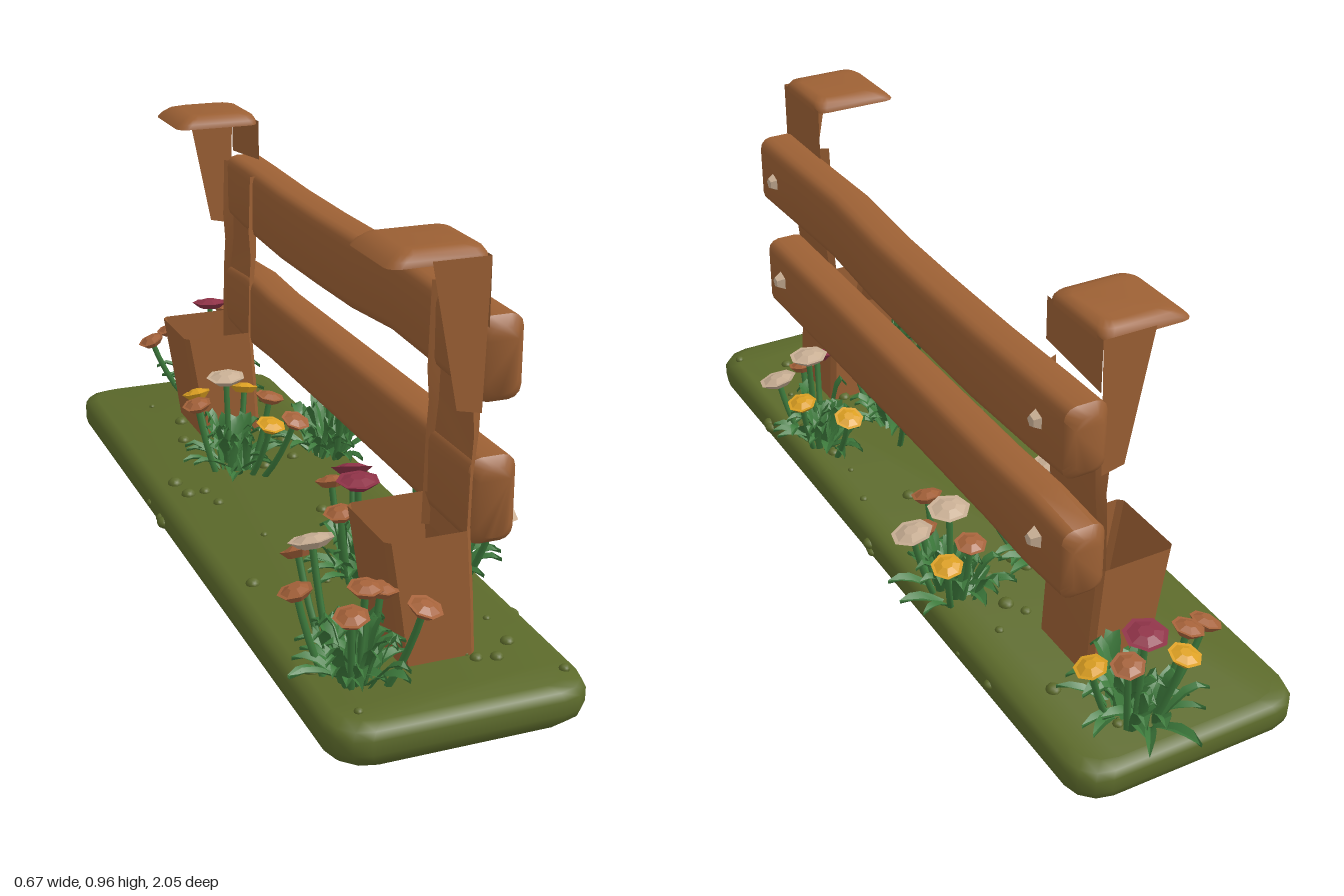
import * as THREE from 'three';
import { mergeGeometries, mergeVertices, toCreasedNormals } from 'three/addons/utils/BufferGeometryUtils.js';

const mat = (name, color, double) => {
  const m = new THREE.MeshStandardMaterial({ color });
  m.name = name;
  if (double) m.side = THREE.DoubleSide;
  return m;
};

let seed = 7;
const rnd = (a = 0, b = 1) => {
  seed = (seed * 16807) % 2147483647;
  return a + (b - a) * (seed / 2147483647);
};

// Rounded rectangle as a list of [a, b] pairs
function roundRect(a0, a1, b0, b1, r, steps = 3) {
  const out = [];
  [[a1 - r, b1 - r], [a0 + r, b1 - r], [a0 + r, b0 + r], [a1 - r, b0 + r]].forEach(([a, b], q) => {
    for (let i = 0; i <= steps; i++) {
      const t = (q + i / steps) * Math.PI / 2;
      out.push([a + r * Math.cos(t), b + r * Math.sin(t)]);
    }
  });
  return out;
}

// Skin a row of equal rings of [x, y, z]; optional end caps
function loft(rings, capped = true, crease = 0.7) {
  const n = rings[0].length, pos = rings.flat(2), idx = [];
  for (let r = 0; r < rings.length - 1; r++)
    for (let i = 0; i < n; i++) {
      const j = (i + 1) % n, a = r * n + i, b = r * n + j;
      idx.push(a, b, b + n, a, b + n, a + n);
    }
  if (capped) {
    const e = (rings.length - 1) * n;
    for (let i = 1; i < n - 1; i++) idx.push(0, i + 1, i, e, e + i, e + i + 1);
  }
  // turn the faces outward
  const p = i => new THREE.Vector3().fromArray(pos, i * 3).sub(new THREE.Vector3().fromArray(pos, 0));
  let vol = 0;
  for (let i = 0; i < idx.length; i += 3) vol += p(idx[i]).dot(p(idx[i + 1]).cross(p(idx[i + 2])));
  if (vol < 0) idx.reverse();
  const g = new THREE.BufferGeometry();
  g.setAttribute('position', new THREE.Float32BufferAttribute(pos, 3));
  g.setIndex(idx);
  return toCreasedNormals(g, crease);
}

// Open sheet through rows of points
function sheet(rows) {
  const n = rows[0].length, idx = [];
  for (let r = 0; r < rows.length - 1; r++)
    for (let i = 0; i < n - 1; i++) {
      const a = r * n + i;
      idx.push(a, a + 1, a + n + 1, a, a + n + 1, a + n);
    }
  const g = new THREE.BufferGeometry();
  g.setAttribute('position', new THREE.Float32BufferAttribute(rows.flat(2), 3));
  g.setIndex(idx);
  return toCreasedNormals(g, 0.6);
}

// Arching strap leaf rooted at (x, z)
function leaf(x, z, yaw, len, rise, w) {
  const rows = [], c = Math.cos(yaw), s = Math.sin(yaw);
  for (let i = 0; i <= 4; i++) {
    const t = i / 4, d = len * (0.1 + 0.9 * t), y = 0.085 + rise * Math.sin(t * 2.1);
    const h = w * [0.5, 0.85, 1, 0.8, 0.15][i];
    rows.push([-1, 0, 1].map(k => [x + c * d - s * h * k, y + (k ? 0.008 : 0), z + s * d + c * h * k]));
  }
  return sheet(rows);
}

// Cupped blossom with a low domed heart, tilted away from its clump
function blossom(x, y, z, r, cx, cz) {
  const cup = new THREE.CylinderGeometry(r, r * 0.6, 0.016, 7).toNonIndexed();
  const heart = new THREE.CylinderGeometry(r * 0.35, r * 0.8, 0.008, 7).toNonIndexed().translate(0, 0.012, 0);
  const g = mergeGeometries([cup, heart]);
  const out = new THREE.Vector3(x - cx, 0, z - cz).multiplyScalar(2.2).add(new THREE.Vector3(0, 1, 0)).normalize();
  g.applyQuaternion(new THREE.Quaternion().setFromUnitVectors(new THREE.Vector3(0, 1, 0), out));
  g.deleteAttribute('uv');
  return toCreasedNormals(g.translate(x, y, z), 0.3);
}

export function createModel() {
  seed = 7;
  const model = new THREE.Group();
  const wood = mat('wood', 0x9c6034, true), moss = mat('moss', 0x5c6a2b), green = mat('leaf green', 0x3d7a3c, true);
  const petals = {
    c: mat('cream', 0xcbb196), r: mat('crimson', 0x8f3348),
    y: mat('yellow', 0xdb9f22), b: mat('rust', 0xa5623a)
  };
  const add = (geo, material, name, parent = model) => {
    const m = new THREE.Mesh(geo, material);
    m.name = name;
    parent.add(m);
    return m;
  };

  // Mossy ground slab
  add(loft([[0, 0.02], [0.018, 0.004], [0.035, 0], [0.065, 0], [0.082, 0.008], [0.092, 0.03]].map(([y, k]) =>
    roundRect(-0.305 + k, 0.262 - k, -0.995 + k, 0.995 - k, 0.075).map(([x, z]) => [x, y, z])), true, 1), moss, 'ground');

  // Small pebbles on top and along the rim
  const pebbles = [];
  for (let i = 0; i < 60; i++) {
    const r = rnd(0.008, 0.02), side = i % 6 === 0;
    const g = mergeVertices(new THREE.IcosahedronGeometry(r, 1).deleteAttribute('uv').deleteAttribute('normal'));
    g.scale(1, 0.8, 1);
    g.computeVertexNormals();
    if (side) g.translate(rnd() < 0.5 ? -0.302 : 0.26, rnd(0.03, 0.06), rnd(-0.8, 0.8));
    else g.translate(rnd(-0.27, 0.23), 0.093, rnd(-0.93, 0.93));
    pebbles.push(g);
  }
  add(mergeGeometries(pebbles), moss, 'pebbles');

  // Posts: open stump, thin middle strip, hollow head and overhanging cap
  [[0.59, 0.8, 1], [-0.73, -0.52, -1]].forEach(([z0, z1, dir]) => {
    const post = new THREE.Group();
    post.name = dir > 0 ? 'frontPost' : 'backPost';
    model.add(post);
    add(loft([[0.08, -0.08, 0.085], [0.22, -0.1, 0.077], [0.375, -0.125, 0.065]].map(([y, a, b]) =>
      roundRect(a, b, z0, z1, 0.012, 1).map(([x, z]) => [x, y, z])), false), wood, 'stump', post);

    const outer = dir > 0 ? z1 : z0, inner = dir > 0 ? z0 : z1;
    const top = dir > 0 ? 0.84 : 0.8;
    add(sheet([[0.3, 0.05, 0.065], [0.5, 0.055, 0.07], [0.58, 0.06, 0.078], [0.65, 0.055, 0.08], [top, 0.06, 0.085]]
      .map(([y, a, b]) => [[a, y, outer], [b, y, outer - dir * 0.015], [b, y, inner + dir * 0.01], [a, y, inner]])),
    wood, 'middleStrip', post);
    add(sheet([[[0.085, 0.945, outer], [0.085, 0.945, inner]],
      [[0.085, dir > 0 ? 0.8 : 0.825, outer], [0.085, dir > 0 ? 0.8 : 0.845, inner]]]), wood, 'headFace', post);
    add(sheet([[[-0.04, 0.945, outer], [0.085, 0.945, outer]], [[0.02, 0.637, outer], [0.075, 0.625, outer]]]),
      wood, 'headSide', post);
    add(loft([[0.936, -0.13, 0.086, 0], [0.948, -0.118, 0.085, 0.002], [0.959, -0.1, 0.078, 0.01], [0.965, -0.08, 0.06, 0.03]]
      .map(([y, a, b, k]) => roundRect(a, b, z0 + k, z1 - k, 0.025).map(([x, z]) => [x, y, z])), true, 0.8), wood, 'cap', post);
  });

  // Rails: [z, bottom, top] stations, slightly wavy
  const rail = (name, x0, x1, stations) => add(loft(stations.map(([z, b, t], i) => {
    const k = i === 0 || i === stations.length - 1 ? 0.018 : 0;
    return roundRect(x0 + k, x1 - k, b + k, t - k, 0.028).map(([x, y]) => [x, y, z]);
  }), true, 0.8), wood, name);
  rail('upperRail', 0.068, 0.17, [[0.798, 0.638, 0.815], [0.78, 0.638, 0.817], [0.58, 0.645, 0.818], [0.35, 0.652, 0.824],
    [0.12, 0.632, 0.807], [-0.1, 0.626, 0.803], [-0.35, 0.623, 0.803], [-0.6, 0.632, 0.81], [-0.73, 0.642, 0.812], [-0.748, 0.645, 0.81]]);
  rail('lowerRail', 0.06, 0.165, [[0.798, 0.33, 0.52], [0.78, 0.332, 0.521], [0.4, 0.335, 0.518], [0, 0.336, 0.515],
    [-0.4, 0.335, 0.512], [-0.58, 0.328, 0.52], [-0.73, 0.338, 0.51], [-0.748, 0.34, 0.508]]);

  // Pale bolts on the rails
  [[0.7, 0.725], [0.7, 0.435], [-0.63, 0.735], [-0.63, 0.44]].forEach(([z, y]) => {
    const g = new THREE.CylinderGeometry(0.014, 0.026, 0.02, 5).rotateZ(-Math.PI / 2);
    add(toCreasedNormals(g, 0.3), petals.c, 'bolt').position.set(0.175, y, z);
  });

  // Flower clumps: centre, leaf reach, then [colour, x, y, z]
  const clumps = [
    [0.06, -0.86, 0.18, [['r', 0.07, 0.335, -0.91], ['y', -0.01, 0.27, -0.94], ['y', 0.165, 0.25, -0.86],
      ['b', -0.06, 0.28, -0.88], ['b', -0.12, 0.26, -0.86], ['b', 0.13, 0.3, -0.94]]],
    [-0.07, -0.3, 0.15, [['c', -0.09, 0.34, -0.29], ['y', -0.13, 0.26, -0.41], ['y', 0, 0.26, -0.41], ['y', -0.01, 0.24, -0.18],
      ['b', -0.17, 0.28, -0.28], ['b', 0.02, 0.28, -0.27], ['b', 0.04, 0.26, -0.14]]],
    [0.19, -0.31, 0.15, [['c', 0.215, 0.34, -0.335], ['c', 0.28, 0.26, -0.28], ['y', 0.26, 0.245, -0.41],
      ['b', 0.2, 0.29, -0.2], ['b', 0.19, 0.27, -0.39], ['b', 0.24, 0.24, -0.25]]],
    [-0.01, 0.4, 0.15, [['r', -0.02, 0.33, 0.41], ['r', 0.05, 0.27, 0.21], ['b', -0.03, 0.28, 0.28],
      ['b', -0.07, 0.27, 0.43], ['b', -0.03, 0.26, 0.49], ['b', 0.04, 0.25, 0.55]]],
    [0.19, 0.42, 0.15, [['c', 0.21, 0.34, 0.44], ['c', 0.27, 0.25, 0.51], ['y', 0.19, 0.25, 0.25], ['y', 0.26, 0.245, 0.38],
      ['r', 0.14, 0.27, 0.55], ['b', 0.19, 0.26, 0.53]]],
    [-0.19, 0.79, 0.16, [['c', -0.23, 0.34, 0.67], ['b', -0.23, 0.28, 0.59], ['b', -0.295, 0.275, 0.75],
      ['b', -0.18, 0.3, 0.83], ['b', -0.23, 0.27, 0.88], ['b', -0.09, 0.28, 0.91], ['b', -0.13, 0.27, 0.79]]]
  ];
  clumps.forEach(([cx, cz, reach, flowers]) => {
    const clump = new THREE.Group();
    clump.name = 'flowerClump';
    model.add(clump);
    const leaves = [];
    for (let i = 0; i < 42; i++) {
      const f = i % 3;
      leaves.push(leaf(cx + rnd(-0.03, 0.03), cz + rnd(-0.05, 0.05), i * 2.4 + rnd(-0.3, 0.3),
        reach * [0.9, 0.7, 0.45][f] * rnd(0.75, 1), [0.05, 0.1, 0.14][f] * rnd(0.7, 1.1), rnd(0.012, 0.019)));
    }
    add(mergeGeometries(leaves), green, 'leaves', clump);
    const stems = flowers.map(([, x, y, z]) => new THREE.TubeGeometry(new THREE.QuadraticBezierCurve3(
      new THREE.Vector3((cx + x) / 2, 0.085, (cz + z) / 2), new THREE.Vector3(x * 0.8 + cx * 0.2, y * 0.6, z * 0.8 + cz * 0.2),
      new THREE.Vector3(x, y, z)), 4, 0.008, 5));
    add(mergeGeometries(stems), green, 'stems', clump);
    flowers.forEach(([k, x, y, z]) =>
      add(blossom(x, y, z, k === 'c' || k === 'r' ? 0.05 : 0.038, cx, cz), petals[k], 'blossom', clump));
  });
  return model;
}
